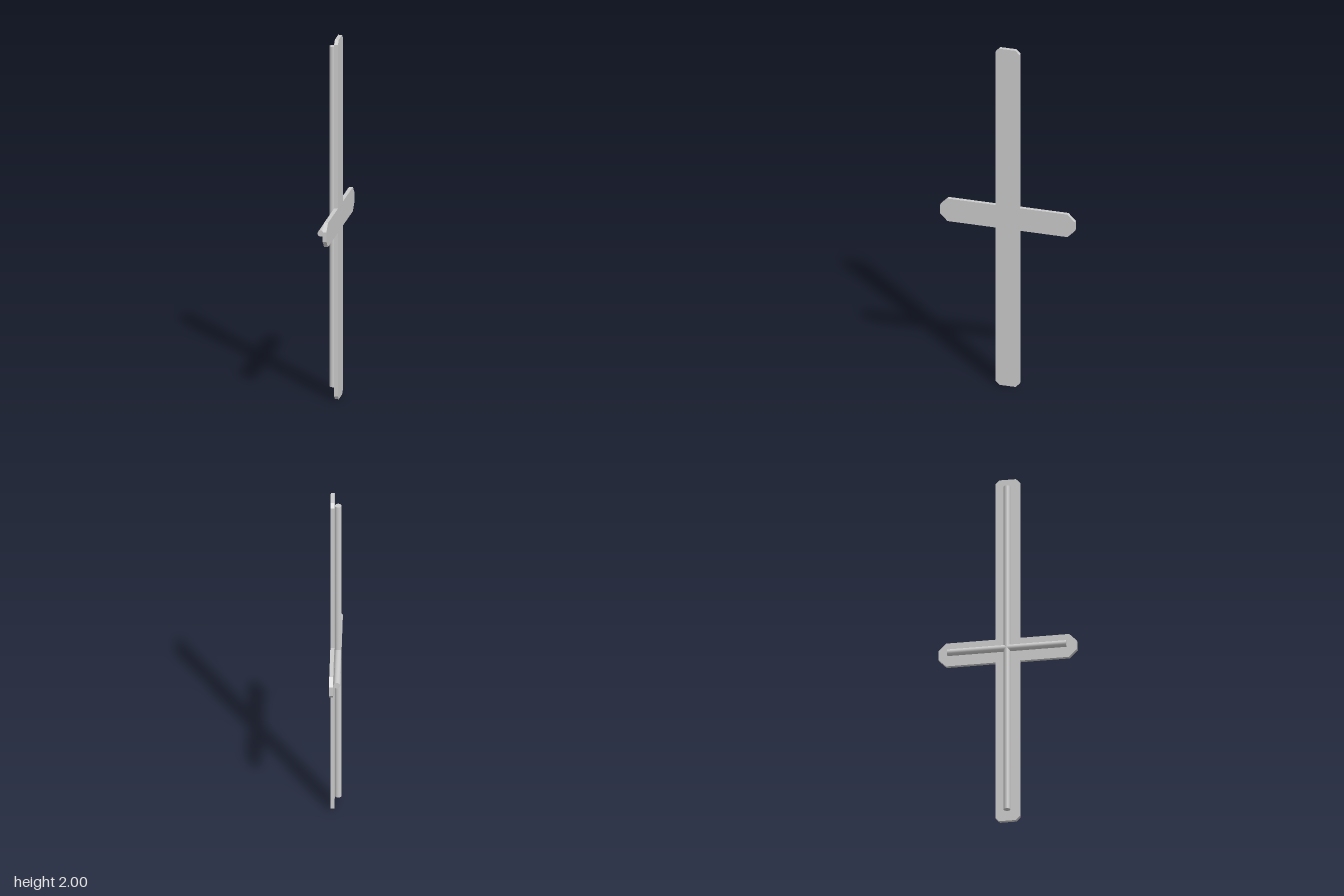
import * as THREE from 'three';

export function createModel() {
  const group = new THREE.Group();
  const material = new THREE.MeshStandardMaterial({ color: 0xcccccc });

  const add = (name, geometry, x, y) => {
    const mesh = new THREE.Mesh(geometry, material);
    mesh.name = name;
    mesh.position.set(x, y, 0);
    group.add(mesh);
  };

  // Flat cross plate with clipped arm ends: one quadrant outline, mirrored
  const w = 0.067, armZ = 0.373, armY = 1, cutZ = 0.04, cutY = 0.022;
  const quadrant = [
    [armZ, w - cutZ], [armZ - cutZ, w], [w, w],
    [w, armY - cutY], [w - cutY, armY],
  ];
  const mirrored = (sx, sy) => quadrant.map(([u, v]) => new THREE.Vector2(u * sx, v * sy));
  const outline = [
    ...mirrored(1, 1), ...mirrored(-1, 1).reverse(),
    ...mirrored(-1, -1), ...mirrored(1, -1).reverse(),
  ];
  const plate = new THREE.ExtrudeGeometry(new THREE.Shape(outline), { depth: 0.021, bevelEnabled: false });
  plate.rotateY(Math.PI / 2);
  add('crossPlate', plate, 0.0075, 1);

  // Round rods running along the back of each arm
  const radius = 0.0178, rodX = -0.0122, rodY = 1.003;
  add('longRod', new THREE.CylinderGeometry(radius, radius, 1.894, 32), rodX, rodY);
  const crossRod = new THREE.CylinderGeometry(radius, radius, 0.644, 32);
  crossRod.rotateX(Math.PI / 2);
  add('crossRod', crossRod, rodX, rodY);

  return group;
}
